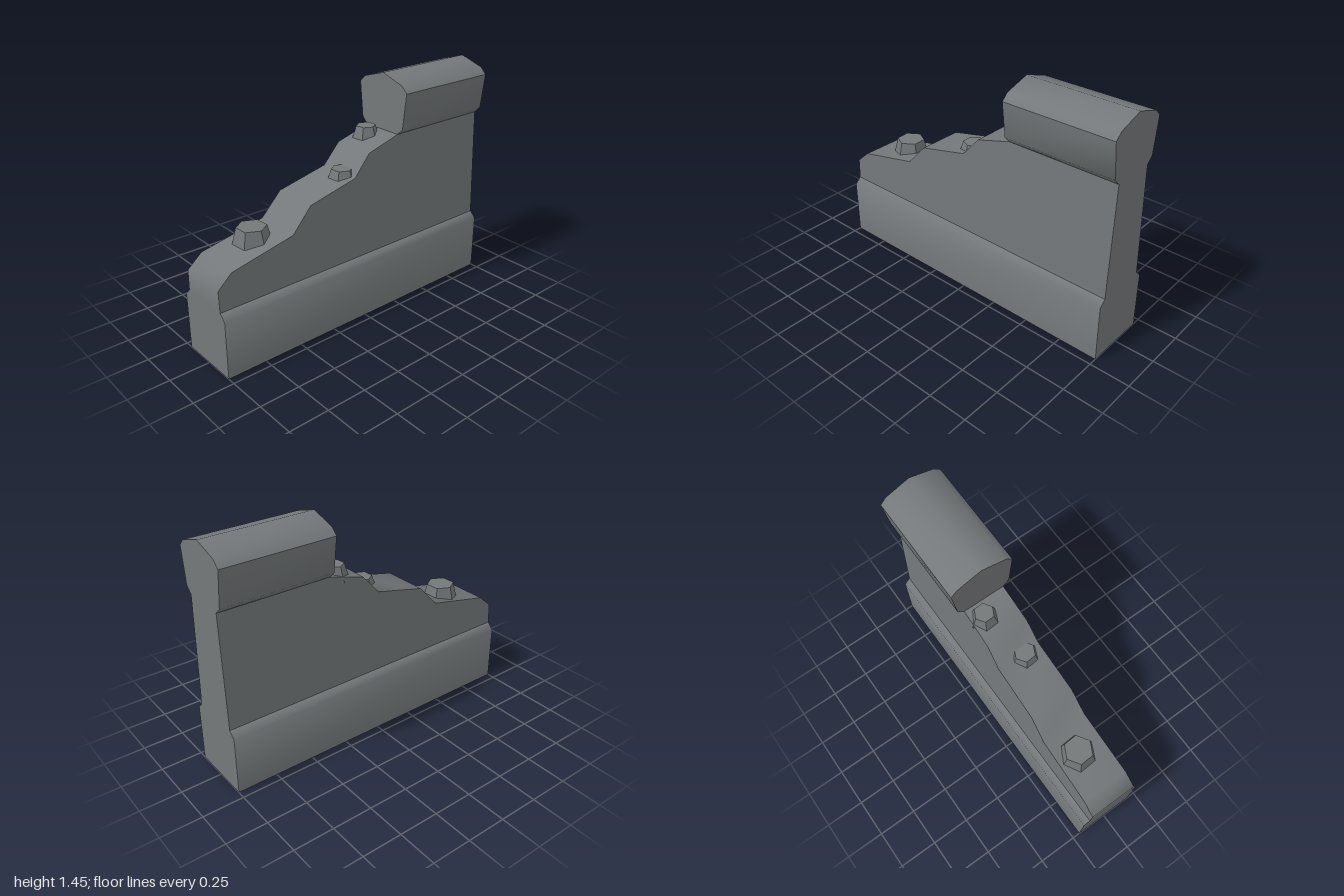
import * as THREE from 'three';
import { toCreasedNormals } from 'three/addons/utils/BufferGeometryUtils.js';

const stone = new THREE.MeshStandardMaterial({ color: 0x74787a });
stone.name = 'grey stone';

const CREASE = THREE.MathUtils.degToRad(50);

function makeMesh(name, geometry) {
  const mesh = new THREE.Mesh(toCreasedNormals(geometry, CREASE), stone);
  mesh.name = name;
  return mesh;
}

// Mirrors a half profile of [halfWidth, y] points and runs it along x
function makeBeam(name, half, x0, x1) {
  const mirrored = half.filter(([w]) => w > 0).reverse().map(([w, y]) => [-w, y]);
  const shape = new THREE.Shape([...half, ...mirrored].map(([w, y]) => new THREE.Vector2(w, y)));
  const geometry = new THREE.ExtrudeGeometry(shape, { depth: x1 - x0, bevelEnabled: false });
  geometry.rotateY(Math.PI / 2).translate(x0, 0, 0);
  return makeMesh(name, geometry);
}

// Broken, stepped wall slab that gets thinner towards the top
function makeWall() {
  const outline = [
    [-1, 0.4], [1, 0.4], [1, 1.1], [0.3, 1.1], [0.07, 1.035], [-0.04, 0.91],
    [-0.37, 0.835], [-0.5, 0.695], [-0.91, 0.61], [-1, 0.53],
  ];
  const shape = new THREE.Shape(outline.map(([x, y]) => new THREE.Vector2(x, y)));
  const geometry = new THREE.ExtrudeGeometry(shape, { depth: 2, bevelEnabled: false });
  geometry.translate(0, 0, -1);
  const p = geometry.attributes.position;
  for (let i = 0; i < p.count; i++) {
    const halfWidth = THREE.MathUtils.mapLinear(p.getY(i), 0.4, 1.1, 0.16, 0.135);
    p.setZ(i, p.getZ(i) * halfWidth);
  }
  return makeMesh('brokenWall', geometry);
}

// Six-sided lump of rubble, partly sunk into the wall
function makeRubble({ x, z, bottom, top, r0, r1, turn }) {
  const geometry = new THREE.CylinderGeometry(r1, r0, top - bottom, 6);
  geometry.rotateY(turn).translate(x, (top + bottom) / 2, z);
  return makeMesh('rubble', geometry);
}

export function createModel() {
  const group = new THREE.Group();
  group.name = 'ruinedWall';

  group.add(makeBeam('plinth', [[0.2, 0], [0.2, 0.36], [0.16, 0.4]], -1, 1));
  group.add(makeWall());
  group.add(makeBeam('coping',
    [[0.135, 1.1], [0.175, 1.14], [0.2, 1.36], [0.16, 1.4], [0, 1.45]], 0.3, 1));

  [
    { x: -0.66, z: -0.02, bottom: 0.62, top: 0.74, r0: 0.118, r1: 0.088, turn: 0.06 },
    { x: -0.05, z: 0.035, bottom: 0.87, top: 0.945, r0: 0.09, r1: 0.065, turn: 0.08 },
    { x: 0.217, z: -0.055, bottom: 1.04, top: 1.13, r0: 0.088, r1: 0.06, turn: 0.06 },
  ].forEach((r) => group.add(makeRubble(r)));

  return group;
}
